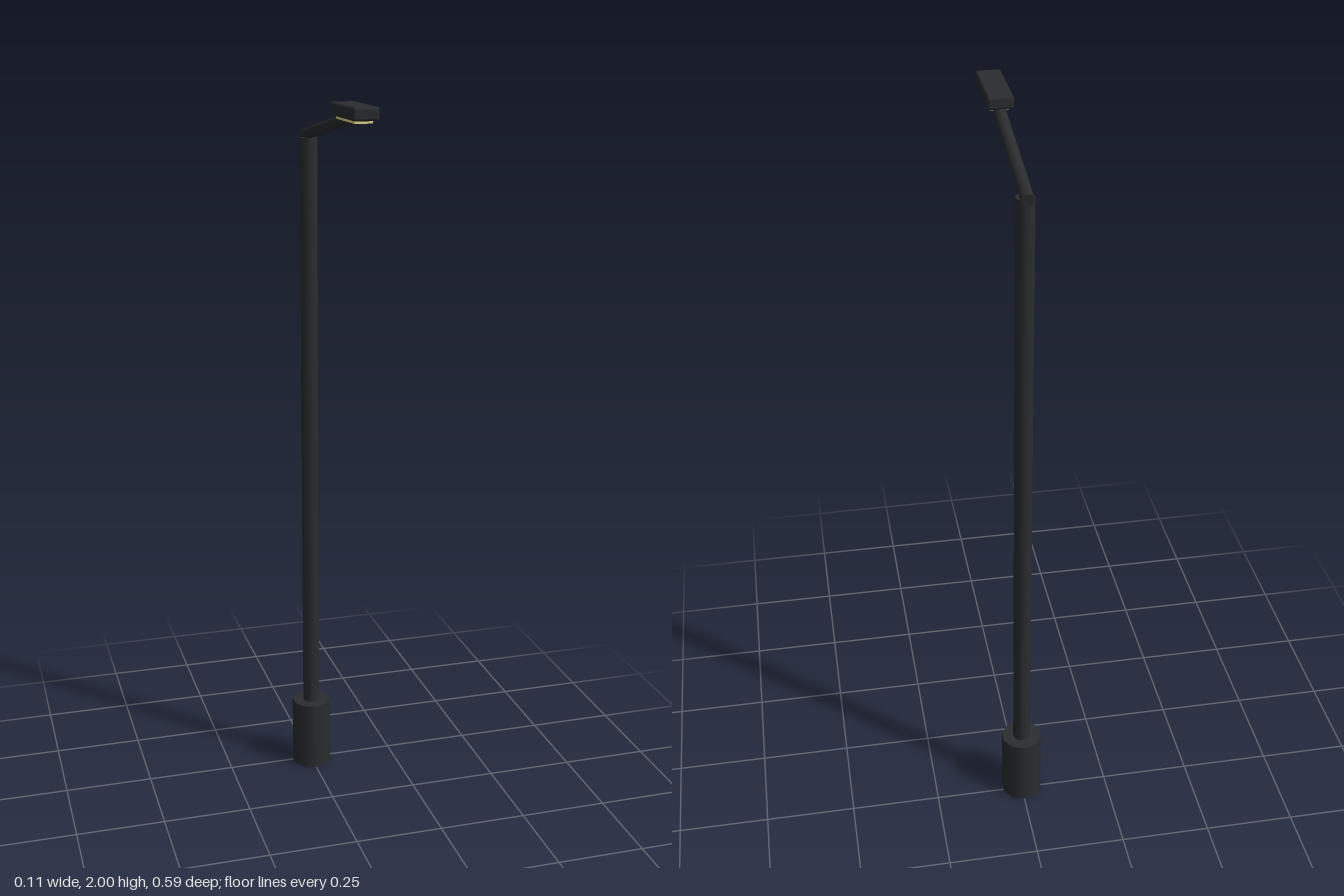
import * as THREE from 'three';
import { RoundedBoxGeometry } from 'three/addons/geometries/RoundedBoxGeometry.js';

const POLE_Z = -0.24;
const HEAD_Z = 0.191;

export function createModel() {
  const group = new THREE.Group();
  const dark = new THREE.MeshStandardMaterial({ color: 0x2a2c2e });
  const glow = new THREE.MeshStandardMaterial({ color: 0xe6d58a });

  const add = (name, geometry, material, y, z) => {
    const mesh = new THREE.Mesh(geometry, material);
    mesh.name = name;
    mesh.position.set(0, y, z);
    group.add(mesh);
    return mesh;
  };

  // Ten-sided foot and upright pole
  add('base', new THREE.CylinderGeometry(0.057, 0.057, 0.205, 10), dark, 0.1025, POLE_Z);
  add('pole', new THREE.CylinderGeometry(0.024, 0.024, 1.75, 10), dark, 1.008, POLE_Z);

  // Arm rising ten degrees from the pole top to the lamp head
  const start = new THREE.Vector3(0, 1.889, -0.273);
  const end = new THREE.Vector3(0, 1.972, 0.2);
  const middle = start.clone().lerp(end, 0.5);
  const arm = add('arm', new THREE.CylinderGeometry(0.016, 0.016, start.distanceTo(end), 10), dark, middle.y, middle.z);
  arm.quaternion.setFromUnitVectors(new THREE.Vector3(0, 1, 0), end.clone().sub(start).normalize());

  // Flat lamp head with softened edges and a light panel underneath
  add('lampHead', new RoundedBoxGeometry(0.066, 0.033, 0.204, 2, 0.007), dark, 1.9835, HEAD_Z);
  add('lightPanel', new THREE.BoxGeometry(0.046, 0.012, 0.16), glow, 1.966, HEAD_Z);

  return group;
}
